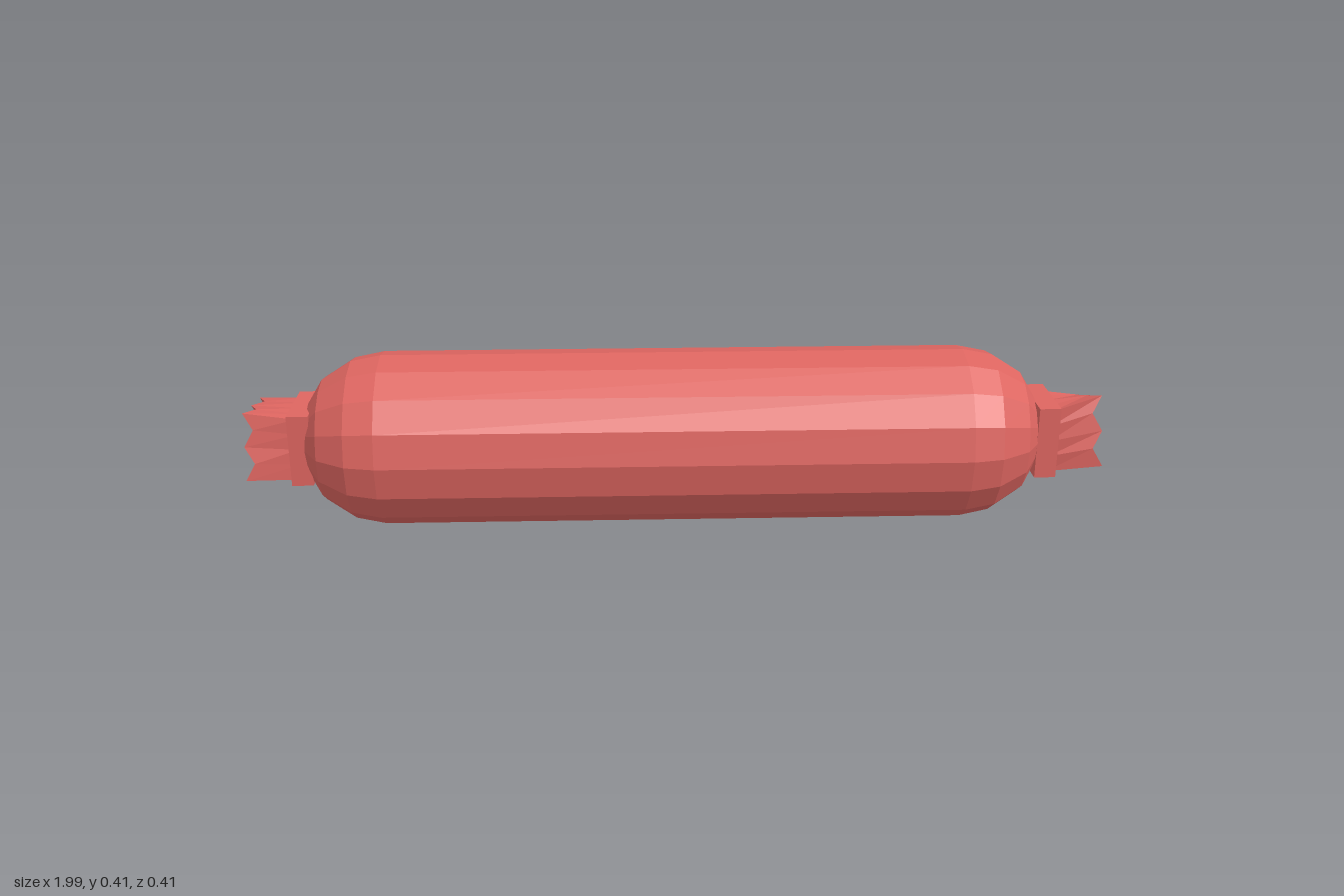
import * as THREE from 'three';

const material = new THREE.MeshStandardMaterial({ color: 0xdd6560, flatShading: true });
const AXIS = 0.204;

function add(parent, name, geometry) {
  const mesh = new THREE.Mesh(geometry, material);
  mesh.name = name;
  parent.add(mesh);
  return mesh;
}

// Square tuft that flares and twists along +x and ends in a zigzag of points
function tuftGeometry(length, baseSize, height, width, twist) {
  const geo = new THREE.BoxGeometry(1, 1, 1, 1, 4, 4);
  const p = geo.attributes.position;
  for (let k = 0; k < p.count; k++) {
    const u = p.getX(k) + 0.5;
    const i = Math.round((p.getY(k) + 0.5) * 4);
    const j = Math.round((p.getZ(k) + 0.5) * 4);
    const y = p.getY(k) * THREE.MathUtils.lerp(baseSize, height, u);
    const z = p.getZ(k) * THREE.MathUtils.lerp(baseSize, width, u);
    const a = twist * u;
    const notch = 0.022 * ((i % 2) + (j % 2));
    p.setXYZ(k, u * (length - notch),
      y * Math.cos(a) - z * Math.sin(a),
      y * Math.sin(a) + z * Math.cos(a));
  }
  geo.computeVertexNormals();
  return geo;
}

// Collar and tuft, built pointing along +x
function createEnd(name, height, width, twist) {
  const end = new THREE.Group();
  end.name = name;
  add(end, 'collar', new THREE.BoxGeometry(0.05, 0.172, 0.172)).position.x = -0.005;
  add(end, 'tuft', tuftGeometry(0.12, 0.15, height, width, twist));
  return end;
}

export function createModel() {
  const model = new THREE.Group();
  model.name = 'sausage';

  // Casing: sixteen-sided tube with rounded caps
  const cap = [[0.68, 0.204], [0.75, 0.19], [0.82, 0.145], [0.86, 0.08], [0.875, 0]];
  const profile = [
    ...cap.map(([x, r]) => new THREE.Vector2(r, -x)).reverse(),
    ...cap.map(([x, r]) => new THREE.Vector2(r, x)),
  ];
  const casing = add(model, 'casing', new THREE.LatheGeometry(profile, 16).rotateZ(-Math.PI / 2));
  casing.position.set(-0.008, AXIS, 0);

  // Pinched ends
  const left = createEnd('leftEnd', 0.165, 0.183, -0.34);
  left.position.set(0.872, AXIS, 0.008);
  const right = createEnd('rightEnd', 0.16, 0.18, 0.15);
  right.position.set(-0.88, AXIS, 0);
  right.rotation.y = Math.PI;
  model.add(left, right);

  return model;
}
